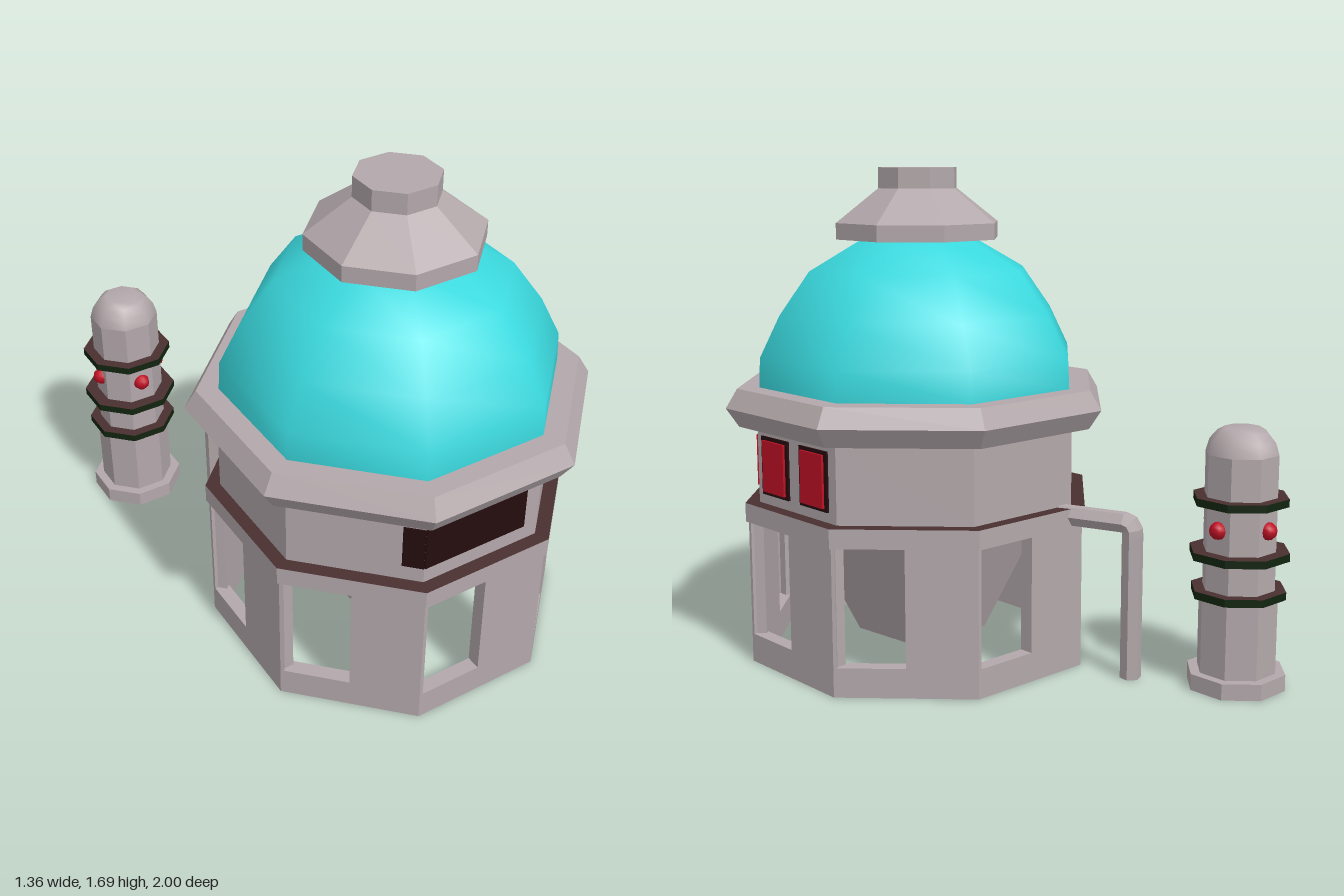
import * as THREE from 'three';

const mat = (name, color) => Object.assign(new THREE.MeshStandardMaterial({ color }), { name });
const D = Math.PI / 180;

export function createModel() {
  const grey = mat('warm grey', 0xb3a8ab);
  const cyan = mat('cyan dome', 0x3ad9de);
  const red = mat('red', 0xc01024);
  const dark = mat('dark window', 0x240c0e);
  const brown = mat('dark brown', 0x4a3030);
  const green = mat('dark green', 0x12240f);
  const inside = mat('inner grey', 0xb3a8ab);
  inside.side = THREE.DoubleSide;

  const root = new THREE.Group();
  const house = new THREE.Group();
  house.name = 'house';
  house.position.z = 0.316;
  const tower = new THREE.Group();
  tower.name = 'tank';
  tower.position.set(-0.05, 0, -0.832);
  root.add(house, tower);

  const add = (parent, name, geo, material) => {
    const m = new THREE.Mesh(geo, material);
    m.name = name;
    parent.add(m);
    return m;
  };
  const flat = (geo) => {
    const g = geo.toNonIndexed();
    g.computeVertexNormals();
    return g;
  };
  // Eight-sided solid of revolution from [radius, y] pairs
  const lathe = (pts, sides = 8, start = 0) =>
    new THREE.LatheGeometry(pts.map(([r, y]) => new THREE.Vector2(r, y)), sides, start);
  const prism = (parent, name, pts, material = grey) => add(parent, name, flat(lathe(pts)), material);
  // Pivot turned so that its local +z points out of a wall
  const facing = (parent, name, degrees) => {
    const g = new THREE.Group();
    g.name = name;
    g.rotation.y = degrees * D;
    parent.add(g);
    return g;
  };
  const box = (parent, name, size, pos, material) => {
    const m = add(parent, name, new THREE.BoxGeometry(...size), material);
    m.position.set(...pos);
    return m;
  };

  // Lower walls, each with an opening in its left half
  const R = 0.615, half = R * Math.sin(22.5 * D), apothem = R * Math.cos(22.5 * D), thick = 0.05;
  const panel = new THREE.Shape([[-half, 0], [half, 0], [half, 0.5], [-half, 0.5]].map((p) => new THREE.Vector2(...p)));
  panel.holes.push(new THREE.Path(
    [[-half + 0.012, 0.1], [-half + 0.012, 0.498], [0, 0.498], [0, 0.1]].map((p) => new THREE.Vector2(...p))));
  const panelGeo = new THREE.ExtrudeGeometry(panel, { depth: thick, bevelEnabled: false });
  for (let i = 0; i < 8; i++) {
    const side = facing(house, 'lowerWall', 22.5 + 45 * i);
    add(side, 'wallPanel', panelGeo, grey).position.z = apothem - thick;
  }

  // Square hopper hanging inside the open base
  add(house, 'hopper', flat(lathe([[0, 0.05], [0.225, 0.05], [0.452, 0.5]], 4, 27.7 * D)), inside);

  // Band, upper wall, rim, dome and cap
  prism(house, 'band', [[0, 0.5], [0.625, 0.5], [0.625, 0.565]]);
  prism(house, 'bandTop', [[0.625, 0.565], [0.57, 0.565]], brown);
  prism(house, 'upperWall', [[0.575, 0.565], [0.575, 0.83]]);
  prism(house, 'rim', [[0.57, 0.83], [0.637, 0.83], [0.68, 0.895], [0.64, 0.96], [0.55, 0.96]]);
  add(house, 'dome', lathe([[0.565, 0.96], [0.56, 1.06], [0.49, 1.2], [0.385, 1.345], [0.2, 1.45], [0, 1.48]]), cyan);
  prism(house, 'cap', [[0, 1.45], [0.29, 1.45], [0.29, 1.505], [0.14, 1.62], [0.14, 1.69], [0, 1.69]]);

  // Red windows set in dark frames
  const wall = 0.575 * Math.cos(22.5 * D);
  for (const [angle, x] of [[22.5, 0.105], [67.5, -0.113], [67.5, 0.104]]) {
    const w = facing(house, 'redWindow', angle);
    box(w, 'windowFrame', [0.152, 0.2, 0.009], [x, 0.7, wall + 0.003], dark);
    box(w, 'windowPane', [0.122, 0.176, 0.014], [x, 0.7, wall + 0.009], red);
  }

  // Long dark window wrapping round a corner
  const front = facing(house, 'longWindow', -22.5);
  box(front, 'longPane', [0.385, 0.155, 0.008], [-0.0275, 0.7, wall + 0.001], dark);
  const turn = facing(house, 'longWindowEnd', -67.5);
  box(turn, 'endPane', [0.07, 0.155, 0.008], [0.185, 0.7, wall + 0.001], dark);

  // Pipe running out of the back wall and down to the ground
  const path = new THREE.CurvePath();
  const v = (y, z) => new THREE.Vector3(0.04, y, z);
  path.add(new THREE.LineCurve3(v(0.54, -0.2), v(0.535, -0.46)));
  path.add(new THREE.QuadraticBezierCurve3(v(0.535, -0.46), v(0.535, -0.495), v(0.5, -0.495)));
  path.add(new THREE.LineCurve3(v(0.5, -0.495), v(0, -0.495)));
  add(root, 'pipe', flat(new THREE.TubeGeometry(path, 40, 0.036, 6)), inside);

  // Tank with base, shaft and domed top
  prism(tower, 'tankBase', [[0, 0], [0.167, 0], [0.167, 0.055], [0.12, 0.055]]);
  prism(tower, 'tankFoot', [[0.133, 0.055], [0.133, 0.325]]);
  prism(tower, 'tankShaft', [[0.122, 0.325], [0.122, 0.785]]);
  add(tower, 'tankTop', lathe([[0.122, 0.785], [0.11, 0.825], [0.085, 0.855], [0.06, 0.87], [0, 0.87]]), grey);

  // Dark hoops around the tank
  for (const [y, r] of [[0.323, 0.16], [0.453, 0.168], [0.633, 0.16]]) {
    prism(tower, 'hoop', [[0.118, y - 0.013], [r, y - 0.013], [r, y + 0.013]], green);
    prism(tower, 'hoopTop', [[r, y + 0.013], [0.118, y + 0.013]], brown);
  }

  // Red lamps on alternate sides of the tank
  for (let i = 0; i < 4; i++) {
    const side = facing(tower, 'lamp', 67.5 + 90 * i);
    add(side, 'lampBulb', new THREE.SphereGeometry(0.03, 8, 6), red).position.set(0, 0.545, 0.113);
  }
  return root;
}
